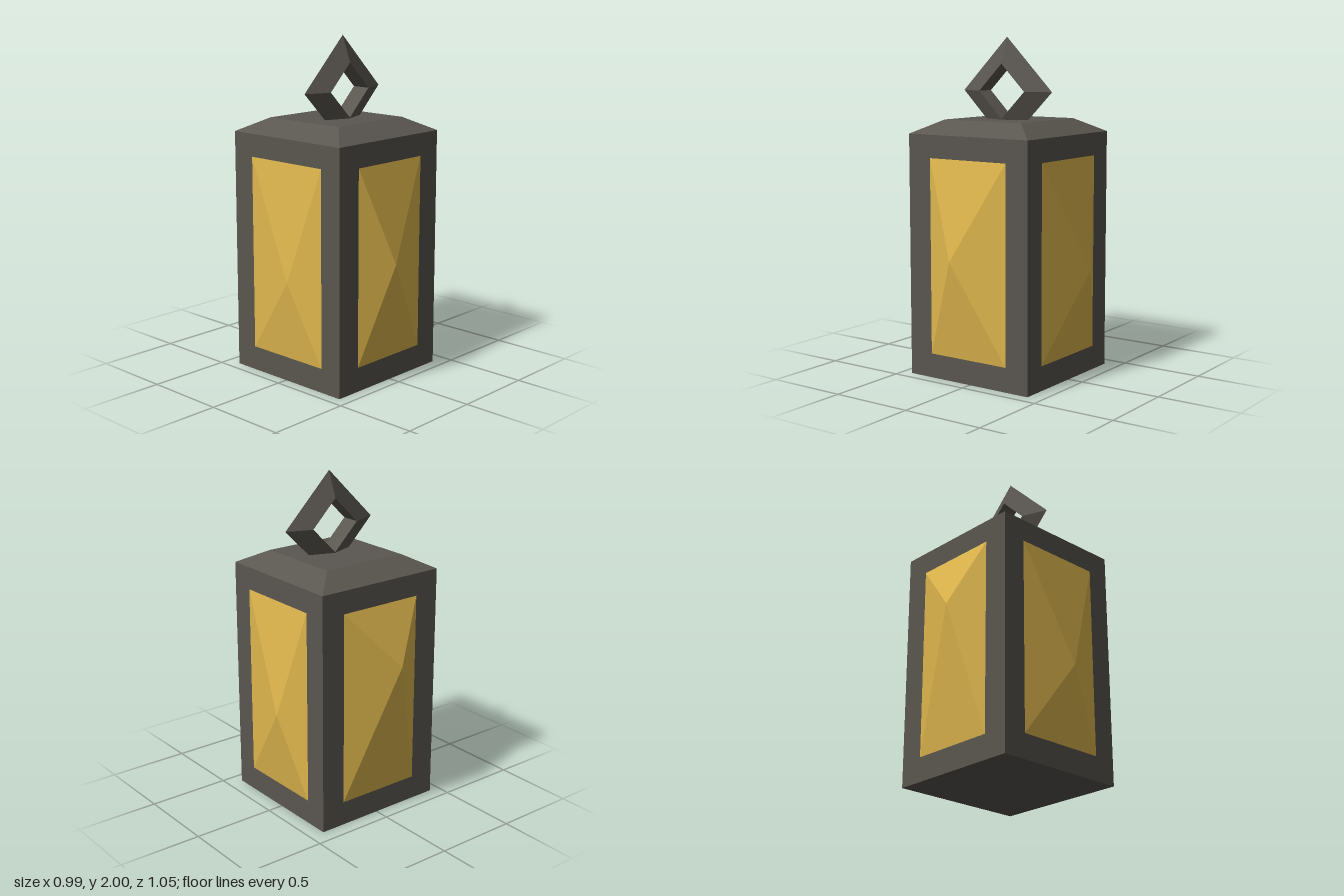
import * as THREE from 'three';

const frameMat = new THREE.MeshStandardMaterial({ name: 'dark metal', color: 0x5a5650, flatShading: true });
const glassMat = new THREE.MeshStandardMaterial({ name: 'amber glass', color: 0xe0b84e, flatShading: true });

// Faceted pane: a rectangle from a to b (x, z) raised to a single off-centre apex
function paneGeometry([ax, az], [bx, bz], apex) {
  const y0 = 0.145, y1 = 1.305;
  const corners = [[ax, y0, az], [bx, y0, bz], [bx, y1, bz], [ax, y1, az]];
  const points = [];
  corners.forEach((c, i) => points.push(...c, ...corners[(i + 1) % 4], ...apex));
  const geometry = new THREE.BufferGeometry();
  geometry.setAttribute('position', new THREE.Float32BufferAttribute(points, 3));
  geometry.computeVertexNormals();
  return geometry;
}

export function createModel() {
  const group = new THREE.Group();
  group.name = 'lantern';
  const add = (name, geometry, material) => {
    const mesh = new THREE.Mesh(geometry, material);
    mesh.name = name;
    group.add(mesh);
    return mesh;
  };

  // Square case
  add('case', new THREE.BoxGeometry(0.84, 1.44, 0.84), frameMat).position.set(-0.015, 0.72, 0.01);

  // Bevelled lid
  const lid = new THREE.CylinderGeometry(0.272 * Math.SQRT2, 0.42 * Math.SQRT2, 0.08, 4, 1, false, Math.PI / 4);
  add('lid', lid, frameMat).position.set(-0.015, 1.48, 0.01);

  // Diamond hanging ring with a triangular section, its lower corner sunk in the lid
  const section = [[0.16, -0.058], [0.315, 0], [0.16, 0.058], [0.16, -0.058]];
  const ring = new THREE.LatheGeometry(section.map(([r, y]) => new THREE.Vector2(r, y)), 4);
  ring.rotateX(Math.PI / 2);
  add('hangingRing', ring, frameMat).position.set(-0.003, 1.685, 0.05);

  // One pane on each side, each with its own apex
  const panes = [
    ['frontPane', [-0.28, 0.43], [0.255, 0.43], [-0.068, 0.73, 0.527]],
    ['leftPane', [0.405, 0.29], [0.405, -0.265], [0.495, 0.65, -0.09]],
    ['backPane', [0.255, -0.41], [-0.28, -0.41], [-0.078, 0.945, -0.527]],
    ['rightPane', [-0.435, -0.265], [-0.435, 0.29], [-0.495, 0.62, 0.075]],
  ];
  for (const [name, a, b, apex] of panes) add(name, paneGeometry(a, b, apex), glassMat);

  return group;
}
